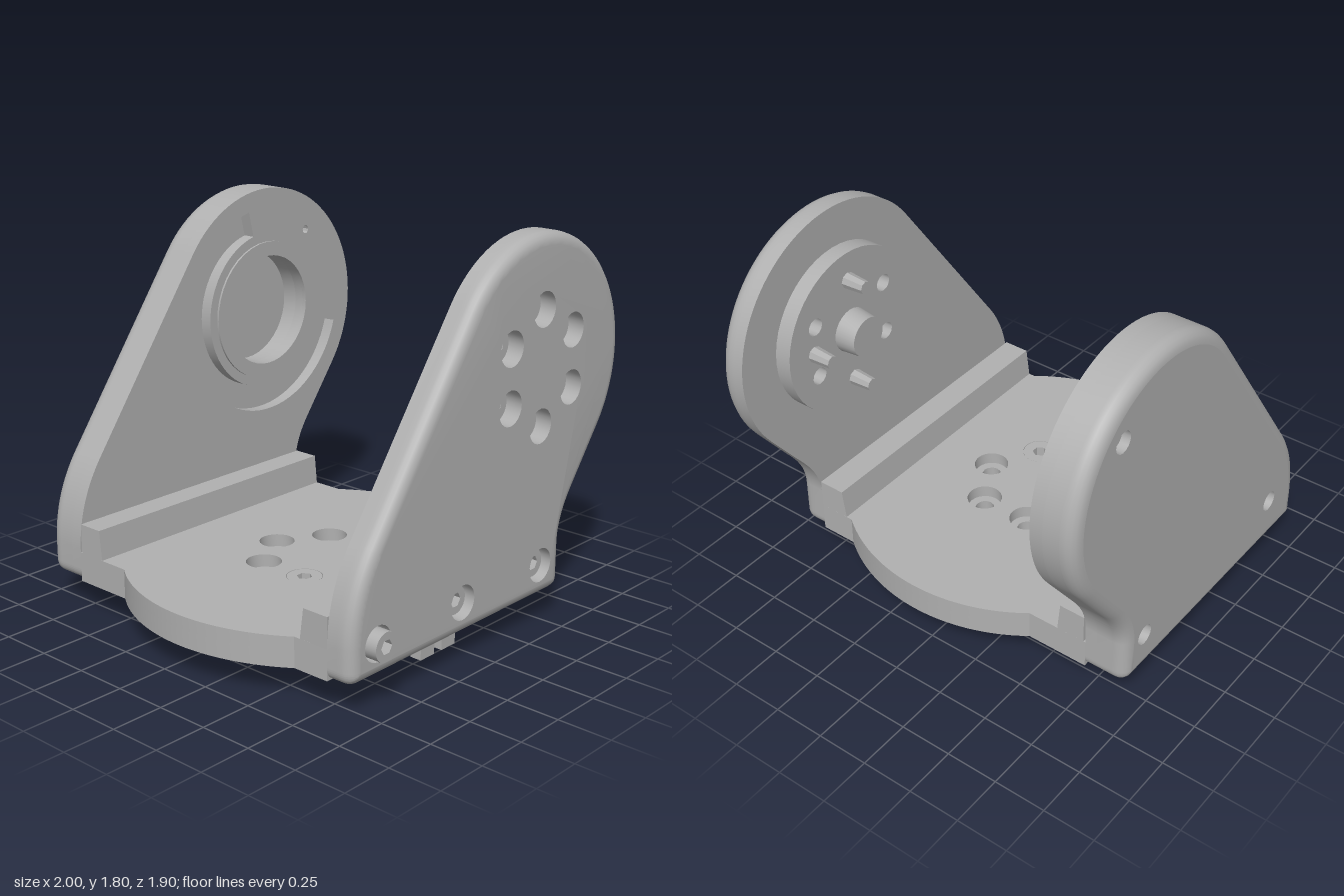
import * as THREE from 'three';
import { mergeGeometries, toCreasedNormals } from 'three/addons/utils/BufferGeometryUtils.js';

const grey = new THREE.MeshStandardMaterial({ color: 0xb0b0b0, side: THREE.DoubleSide });
grey.name = 'grey plastic';

const V = (x, y) => new THREE.Vector2(x, y);

function add(group, name, geometry) {
  const mesh = new THREE.Mesh(toCreasedNormals(geometry, 0.6), grey);
  mesh.name = name;
  group.add(mesh);
  return mesh;
}

function circle(x, y, r, n = 24) {
  return Array.from({ length: n }, (_, i) => {
    const a = (i / n) * Math.PI * 2;
    return V(x + r * Math.cos(a), y + r * Math.sin(a));
  });
}

function makeShape(points, holes = []) {
  const s = new THREE.Shape(points);
  s.holes = holes.map((h) => new THREE.Path(h));
  return s;
}

// Remove repeated points from a sampled outline
function clean(points) {
  const out = [];
  for (const p of points) if (!out.length || p.distanceTo(out[out.length - 1]) > 0.004) out.push(p);
  if (out[0].distanceTo(out[out.length - 1]) < 0.004) out.pop();
  return out;
}

function inset(points, d) {
  const n = points.length;
  return points.map((p, i) => {
    const t = points[(i + 1) % n].clone().sub(points[(i + n - 1) % n]).normalize();
    return V(p.x - t.y * d, p.y + t.x * d);
  });
}

// Straight slab between two depths
function slab(points, holes, z0, z1) {
  const g = new THREE.ExtrudeGeometry(makeShape(points, holes), { depth: z1 - z0, bevelEnabled: false });
  return g.translate(0, 0, z0);
}

// Slab whose far edge (z1) is rounded by radius r, with sharp straight holes
function roundedSlab(points, holes, z0, z1, r) {
  const dir = Math.sign(z1 - z0);
  const levels = [[z0, 0]];
  for (let i = 0; i <= 5; i++) {
    const a = (i / 5) * Math.PI / 2;
    levels.push([z1 - dir * r * (1 - Math.sin(a)), r * (1 - Math.cos(a))]);
  }
  const pos = [];
  const wall = (A, za, B, zb) => {
    for (let i = 0; i < A.length; i++) {
      const j = (i + 1) % A.length;
      const a = [A[i].x, A[i].y, za], b = [A[j].x, A[j].y, za];
      const c = [B[j].x, B[j].y, zb], d = [B[i].x, B[i].y, zb];
      if (dir > 0) pos.push(...a, ...b, ...c, ...a, ...c, ...d);
      else pos.push(...a, ...c, ...b, ...a, ...d, ...c);
    }
  };
  for (let k = 0; k < levels.length - 1; k++) {
    wall(inset(points, levels[k][1]), levels[k][0], inset(points, levels[k + 1][1]), levels[k + 1][0]);
  }
  for (const h of holes) wall([...h].reverse(), z0, [...h].reverse(), z1);
  const side = new THREE.BufferGeometry();
  side.setAttribute('position', new THREE.Float32BufferAttribute(pos, 3));
  const cap = new THREE.ShapeGeometry(makeShape(inset(points, r), holes)).toNonIndexed();
  cap.deleteAttribute('uv');
  cap.deleteAttribute('normal');
  if (dir < 0) cap.rotateY(Math.PI).scale(-1, 1, 1);
  cap.translate(0, 0, z1);
  return mergeGeometries([side, cap]);
}

// Cylinder along z or y between two positions
function rodZ(x, y, z0, z1, r0, r1 = r0, n = 24) {
  return new THREE.CylinderGeometry(r1, r0, z1 - z0, n).rotateX(Math.PI / 2).translate(x, y, (z0 + z1) / 2);
}
function rodY(x, z, y0, y1, r0, r1 = r0, n = 24) {
  return new THREE.CylinderGeometry(r1, r0, y1 - y0, n).translate(x, (y0 + y1) / 2, z);
}
const layFlat = (g) => g.rotateX(-Math.PI / 2);

// Side plate outline: round head leaning over a straight foot
function armOutline() {
  const p = new THREE.Path();
  p.moveTo(-0.77, 0.14);
  p.lineTo(0.54, 0.14);
  p.quadraticCurveTo(0.6, 0.14, 0.6, 0.2);
  p.lineTo(0.6, 0.36);
  p.quadraticCurveTo(0.6, 0.467, 0.69, 0.587);
  p.lineTo(0.88, 0.84);
  p.absarc(0.4, 1.2, 0.6, -0.6435, 2.522, false);
  p.lineTo(-0.7, 0.694);
  p.quadraticCurveTo(-0.825, 0.515, -0.83, 0.3);
  p.lineTo(-0.83, 0.2);
  p.quadraticCurveTo(-0.83, 0.14, -0.77, 0.14);
  return clean(p.getPoints(24));
}

// Base outline, drawn with y = -z: rectangle with bulging round sides
function baseOutline() {
  const p = new THREE.Path(), a = 0.629;
  p.moveTo(-0.83, -0.78);
  p.lineTo(0.6, -0.78);
  p.absarc(-0.115, -0.08, 0.885, -a, a, false);
  p.lineTo(0.6, 0.74);
  p.lineTo(-0.83, 0.74);
  p.absarc(-0.115, -0.08, 0.885, Math.PI - a, Math.PI + a, false);
  return clean(p.getPoints(20));
}

export function createModel() {
  const model = new THREE.Group();
  model.name = 'bracket';
  const arm = armOutline();

  // Front plate with counterbored holes
  const sideHoles = [[0.175, 1.34], [0.62, 1.34], [0.175, 1.08], [0.62, 1.08]];
  const pegHoles = [[0.4, 1.47], [0.4, 0.95]];
  const screws = [[-0.67, 0.29], [-0.12, 0.29], [0.44, 0.29]];
  const small = sideHoles.map(([x, y]) => circle(x, y, 0.042, 12));
  const large = [...sideHoles, ...pegHoles, ...screws].map(([x, y]) => circle(x, y, 0.08));
  add(model, 'frontPlateInner', slab(arm, small, 0.78, 0.83));
  add(model, 'frontPlateOuter', roundedSlab(arm, large, 0.83, 0.91, 0.055));
  screws.forEach(([x, y], i) => {
    const top = i === 0 ? 0.955 : 0.87;
    add(model, 'plateScrew', slab(circle(x, y, 0.066), [circle(x, y, 0.034, 6)], 0.83, top));
  });

  // Round horn on the inside of the front plate
  add(model, 'frontHorn', slab(circle(0.4, 1.21, 0.395, 48), small, 0.7, 0.78));
  add(model, 'frontHub', rodZ(0.4, 1.21, 0.6, 0.7, 0.095, 0.105));
  for (const [x, y] of [...pegHoles, [0.64, 1.21]]) add(model, 'frontPeg', rodZ(x, y, 0.595, 0.7, 0.03, 0.038, 8));

  // Back plate: recessed inside face, rounded outside face
  const groove = new THREE.Path(), g0 = 1.8, g1 = 6.0;
  groove.absarc(0.4, 1.2, 0.51, g0, g1, false);
  groove.absarc(0.4, 1.2, 0.385, g1, g0, true);
  const bore = circle(0.4, 1.2, 0.27, 40);
  const pin = circle(0.68, 1.56, 0.02, 10);
  const backScrews = [[0.69, 1.53], [0.46, 0.34], [-0.58, 0.38]];
  add(model, 'backPlateInner', slab(arm, [clean(groove.getPoints(24)), bore, pin], -0.8, -0.74));
  add(model, 'backPlateCore', slab(arm, [bore], -0.88, -0.8));
  add(model, 'backPlateOuter', roundedSlab(arm, backScrews.map(([x, y]) => circle(x, y, 0.05, 16)), -0.88, -0.95, 0.06));
  add(model, 'bearingRing', slab(circle(0.4, 1.2, 0.34, 40), [bore], -0.75, -0.73));
  for (const [x, y] of backScrews) {
    add(model, 'backScrew', slab(circle(x, y, 0.047, 16), [circle(x, y, 0.024, 6)], -0.91, -0.88));
  }

  // Base with six counterbored holes, one still holding a screw
  const ring = [[-0.12, -0.18], [0.1, -0.05], [0.1, 0.2], [-0.12, 0.33], [-0.34, -0.05], [-0.34, 0.2]];
  const base = baseOutline();
  const baseSmall = ring.map(([x, z]) => circle(x, -z, 0.045, 12));
  add(model, 'baseLower', layFlat(slab(base, baseSmall, 0.14, 0.22)));
  add(model, 'baseUpper', layFlat(slab(base, ring.map(([x, z]) => circle(x, -z, 0.082)), 0.22, 0.28)));
  add(model, 'baseScrew', layFlat(slab(circle(-0.34, -0.2, 0.08), [circle(-0.34, -0.2, 0.035, 6)], 0.22, 0.279)));

  // Upright flanges that carry the two plates
  const flanges = {
    frontFlange: [V(0.63, 0.27), V(0.78, 0.27), V(0.78, 0.42), V(0.65, 0.42)],
    backFlange: [V(-0.73, 0.27), V(-0.59, 0.27), V(-0.605, 0.42), V(-0.73, 0.42)],
  };
  for (const [name, pts] of Object.entries(flanges)) {
    add(model, name, slab(pts, [], 0, 1.43).rotateY(-Math.PI / 2).translate(0.6, 0, 0));
  }

  // Underside: trimmed collar around a round horn
  const collar = circle(-0.12, -0.04, 0.53, 48).map((p) => V(THREE.MathUtils.clamp(p.x, -0.57, 0.33), p.y));
  add(model, 'bottomCollar', layFlat(slab(clean(collar), [circle(-0.12, -0.075, 0.405, 48)], 0.1, 0.14)));
  add(model, 'bottomHorn', layFlat(slab(circle(-0.12, -0.075, 0.39, 48), baseSmall, 0.1, 0.14)));
  add(model, 'bottomHub', rodY(-0.12, 0.08, 0.02, 0.1, 0.09, 0.1));
  add(model, 'bottomPeg', rodY(-0.34, 0.21, 0, 0.12, 0.034, 0.04, 8));
  add(model, 'bottomPeg', rodY(0.13, 0.08, 0.02, 0.12, 0.034, 0.04, 8));

  // Notched latch under the front edge
  const tongue = [V(0.46, 0.14), V(0.46, 0.1), V(0.73, 0.08), V(0.73, 0.14)];
  add(model, 'latchTongue', slab(tongue, [], 0, 0.235).rotateY(-Math.PI / 2).translate(0, 0, 0));
  const tab = [V(-0.235, 0.14), V(-0.235, 0.02), V(-0.143, 0.02), V(-0.143, 0.07), V(-0.093, 0.07),
    V(-0.093, 0.02), V(0, 0.02), V(0, 0.14)];
  add(model, 'latchTab', slab(tab, [], 0.725, 0.78));

  return model;
}
